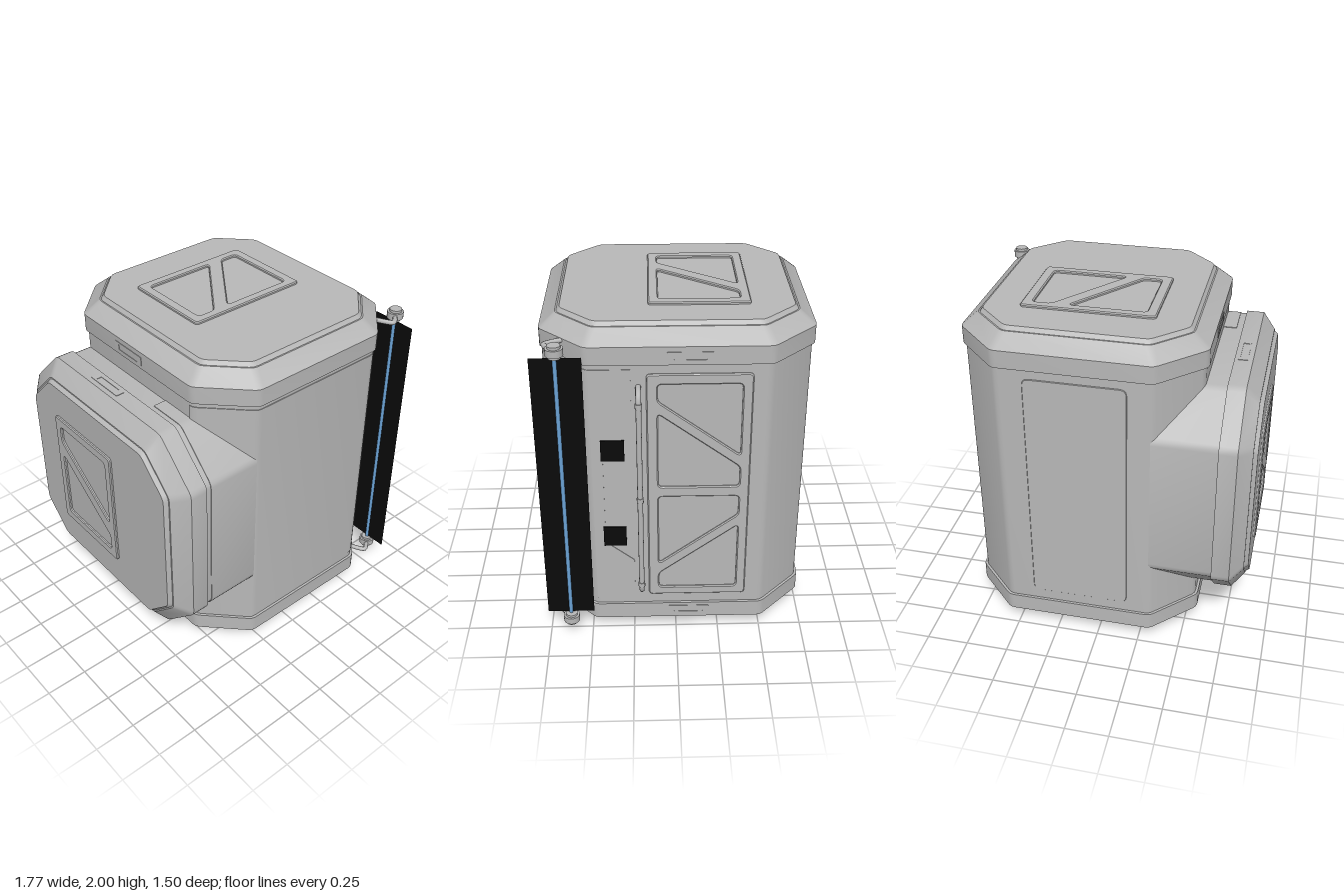
import * as THREE from 'three';
import { toCreasedNormals } from 'three/addons/utils/BufferGeometryUtils.js';

const HALF_U = 0.685, HALF_V = 0.7375, CHAMFER = 0.25;

const hullGrey = new THREE.MeshStandardMaterial({ color: 0xb8b8b8 });
hullGrey.name = 'hullGrey';
const panelBlack = new THREE.MeshStandardMaterial({ color: 0x0a0a0a, side: THREE.DoubleSide });
panelBlack.name = 'panelBlack';
const poleBlue = new THREE.MeshStandardMaterial({ color: 0x6ba3d6 });
poleBlue.name = 'poleBlue';

function add(parent, name, geometry, material = hullGrey, x = 0, y = 0, z = 0) {
  const mesh = new THREE.Mesh(geometry, material);
  mesh.name = name;
  mesh.position.set(x, y, z);
  parent.add(mesh);
  return mesh;
}

// Octagon with slightly rounded corners, moved inwards by inset
function octagon(inset) {
  const u = HALF_U - inset, v = HALF_V - inset, c = CHAMFER - 0.586 * inset;
  const corners = [[u, -v + c], [u, v - c], [u - c, v], [c - u, v], [-u, v - c], [-u, c - v], [c - u, -v], [u - c, -v]]
    .map(p => new THREE.Vector2(...p));
  return corners.flatMap((p, i) => {
    const a = corners[(i + 7) % 8].clone().sub(p).setLength(0.025).add(p);
    const b = corners[(i + 1) % 8].clone().sub(p).setLength(0.025).add(p);
    return [a, a.clone().add(b).add(p).add(p).multiplyScalar(0.25), b];
  });
}

// Solid from octagons stacked along y: profile of [inset, height], optionally cut at z = clip
function octSolid(profile, clip = -9) {
  const rings = profile.map(([inset, h]) => octagon(inset).map(p => [p.x, h, Math.max(p.y, clip)]));
  const n = rings[0].length, last = rings.length - 1, pos = [];
  const tri = (...pts) => pts.forEach(p => pos.push(...p));
  for (let k = 0; k < last; k++) {
    for (let i = 0; i < n; i++) {
      const j = (i + 1) % n;
      tri(rings[k][i], rings[k + 1][i], rings[k + 1][j]);
      tri(rings[k][i], rings[k + 1][j], rings[k][j]);
    }
  }
  for (let i = 1; i < n - 1; i++) {
    tri(rings[last][0], rings[last][i + 1], rings[last][i]);
    tri(rings[0][0], rings[0][i], rings[0][i + 1]);
  }
  const g = new THREE.BufferGeometry();
  g.setAttribute('position', new THREE.Float32BufferAttribute(pos, 3));
  return toCreasedNormals(g, 0.6);
}

// Polygon with rounded corners
function roundPoly(points, r, path = new THREE.Path()) {
  const pts = points.map(p => new THREE.Vector2(...p)), n = pts.length;
  pts.forEach((p, i) => {
    const a = pts[(i + n - 1) % n].clone().sub(p).setLength(r).add(p);
    const b = pts[(i + 1) % n].clone().sub(p).setLength(r).add(p);
    if (i) path.lineTo(a.x, a.y); else path.moveTo(a.x, a.y);
    path.quadraticCurveTo(p.x, p.y, b.x, b.y);
  });
  path.closePath();
  return path;
}

const rect = (x0, x1, y0, y1) => [[x0, y0], [x1, y0], [x1, y1], [x0, y1]];

// Flat plate with pockets, lying in the xy plane and facing +z
function plate(outline, holes, r, depth, bevel = 0) {
  const shape = roundPoly(outline, r, new THREE.Shape());
  shape.holes = holes.map(h => roundPoly(h, r));
  return new THREE.ExtrudeGeometry(shape, {
    depth: depth - bevel, curveSegments: 5, bevelEnabled: bevel > 0,
    bevelSize: bevel, bevelThickness: bevel, bevelOffset: -bevel, bevelSegments: 1,
  });
}

// Domed end: stepped cap, pocketed hatch and two side latches
function makeEnd(name) {
  const end = new THREE.Group();
  end.name = name;
  add(end, 'cap', octSolid([[0, 0.785], [0, 0.888], [0.088, 0.962], [0.096, 0.962], [0.112, 0.985]]));
  const pocket = [[-0.318, 0.22], [0.112, 0.22], [-0.215, -0.22], [-0.318, -0.22]];
  const hatch = plate(rect(-0.3775, 0.3775, -0.275, 0.275),
    [pocket, pocket.map(([x, y]) => [-x, -y])], 0.025, 0.015, 0.006);
  add(end, 'hatch', hatch.rotateX(-Math.PI / 2), hullGrey, 0, 0.985, -0.1175);
  for (const s of [1, -1]) {
    const latch = plate(rect(-0.12, 0.12, -0.027, 0.027), [rect(-0.085, 0.085, -0.017, 0.017)], 0.006, 0.004);
    add(end, 'latch', latch.rotateY(s * Math.PI / 2), hullGrey, s * 0.684, 0.832, -0.0575);
  }
  return end;
}

export function createModel() {
  const model = new THREE.Group();
  model.name = 'habitatModule';

  // Main hull with domed ends
  const hull = new THREE.Group();
  hull.name = 'hull';
  hull.position.set(0.113, 1, -0.0125);
  model.add(hull);
  add(hull, 'trunk', octSolid([[0.015, -0.79], [0.015, 0.79]]));
  add(hull, 'frontCladding', octSolid([[0.011, -0.75], [0.011, 0.755]], 0.46));
  const bottom = makeEnd('bottomEnd');
  bottom.rotation.z = Math.PI;
  hull.add(makeEnd('topEnd'), bottom);

  // Sideways bay, an identical section turned to -x
  const bay = new THREE.Group();
  bay.name = 'sideBay';
  bay.rotation.z = Math.PI / 2;
  hull.add(bay);
  add(bay, 'bayTrunk', octSolid([[0.015, 0.42], [0.015, 0.79]]));
  add(bay, 'bayCladding', octSolid([[0.011, 0.43], [0.011, 0.748]], 0.248));
  bay.add(makeEnd('bayEnd'));

  // Door on the +x face: pockets mirrored about mid height
  const upper = [
    [[-0.10, 1.67], [-0.10, 1.57], [0.345, 1.235], [0.345, 1.67]],
    [[-0.10, 1.495], [-0.10, 1.035], [0.345, 1.035], [0.345, 1.16]],
  ];
  const lower = upper.map(h => h.map(([x, y]) => [x, 2.005 - y]));
  const door = plate(rect(-0.16, 0.40, 0.28, 1.73), [...upper, ...lower], 0.025, 0.014, 0.006);
  add(model, 'door', door.rotateY(Math.PI / 2), hullGrey, 0.781);

  // Notched cladding beside the door
  const notched = [[-0.46, 0.25], [-0.24, 0.25], [-0.24, 0.53], [-0.40, 0.66],
    [-0.40, 1.335], [-0.24, 1.48], [-0.24, 1.755], [-0.46, 1.755]];
  add(model, 'notchedCladding', plate(notched, [], 0.002, 0.006).rotateY(Math.PI / 2), hullGrey, 0.781);

  // Back panel
  const back = plate(rect(-0.39, 0.18, 0.28, 1.73), [], 0.04, 0.007, 0.003);
  add(model, 'backPanel', back.rotateY(Math.PI), hullGrey, 0, 0, -0.733);

  // Handrail with standoffs
  const V = (x, y, z) => new THREE.Vector3(x, y, z);
  const rail = new THREE.CurvePath();
  const [lo, hi, rx, rz] = [0.35, 1.655, 0.868, 0.2];
  rail.add(new THREE.LineCurve3(V(0.775, lo, rz), V(0.81, lo, rz)));
  rail.add(new THREE.QuadraticBezierCurve3(V(0.81, lo, rz), V(rx, lo, rz), V(rx, lo + 0.07, rz)));
  rail.add(new THREE.LineCurve3(V(rx, lo + 0.07, rz), V(rx, hi - 0.07, rz)));
  rail.add(new THREE.QuadraticBezierCurve3(V(rx, hi - 0.07, rz), V(rx, hi, rz), V(0.81, hi, rz)));
  rail.add(new THREE.LineCurve3(V(0.81, hi, rz), V(0.775, hi, rz)));
  add(model, 'handrail', new THREE.TubeGeometry(rail, 120, 0.015, 10));
  for (const y of [0.42, 1.003, 1.587]) {
    add(model, 'railStandoff', new THREE.CylinderGeometry(0.012, 0.012, 0.1, 10).rotateZ(Math.PI / 2), hullGrey, 0.825, y, rz);
    add(model, 'railClamp', new THREE.CylinderGeometry(0.019, 0.019, 0.03, 12), hullGrey, rx, y, rz);
  }

  // Black squares on the +x face
  for (const y of [0.705, 1.272]) {
    add(model, 'blackPatch', new THREE.BoxGeometry(0.008, 0.128, 0.128), panelBlack, 0.791, y, 0.346);
  }

  // Blue pole carrying a thin black sheet
  add(model, 'pole', new THREE.CylinderGeometry(0.011, 0.011, 1.7, 12), poleBlue, 0.805, 1.003, 0.622);
  add(model, 'blackSheet', new THREE.PlaneGeometry(0.27, 1.665).rotateY(Math.PI / 2), panelBlack, 0.805, 1.004, 0.62);

  // Pole brackets, mirrored top and bottom
  for (const s of [1, -1]) {
    const bracket = new THREE.Group();
    bracket.name = 'poleBracket';
    bracket.position.y = 1.003 + s * 0.872;
    model.add(bracket);
    add(bracket, 'knob', new THREE.CylinderGeometry(0.047, 0.047, 0.04, 20), hullGrey, 0.808, 0, 0.62);
    add(bracket, 'knobCap', new THREE.CylinderGeometry(0.035, 0.035, 0.07, 20), hullGrey, 0.808, 0, 0.62);
    const arm = new THREE.CatmullRomCurve3([V(0.67, 0, 0.585), V(0.695, 0, 0.64), V(0.725, 0, 0.68), V(0.76, 0, 0.66), V(0.80, 0, 0.625)]);
    add(bracket, 'arm', new THREE.TubeGeometry(arm, 20, 0.014, 8));
  }
  return model;
}
